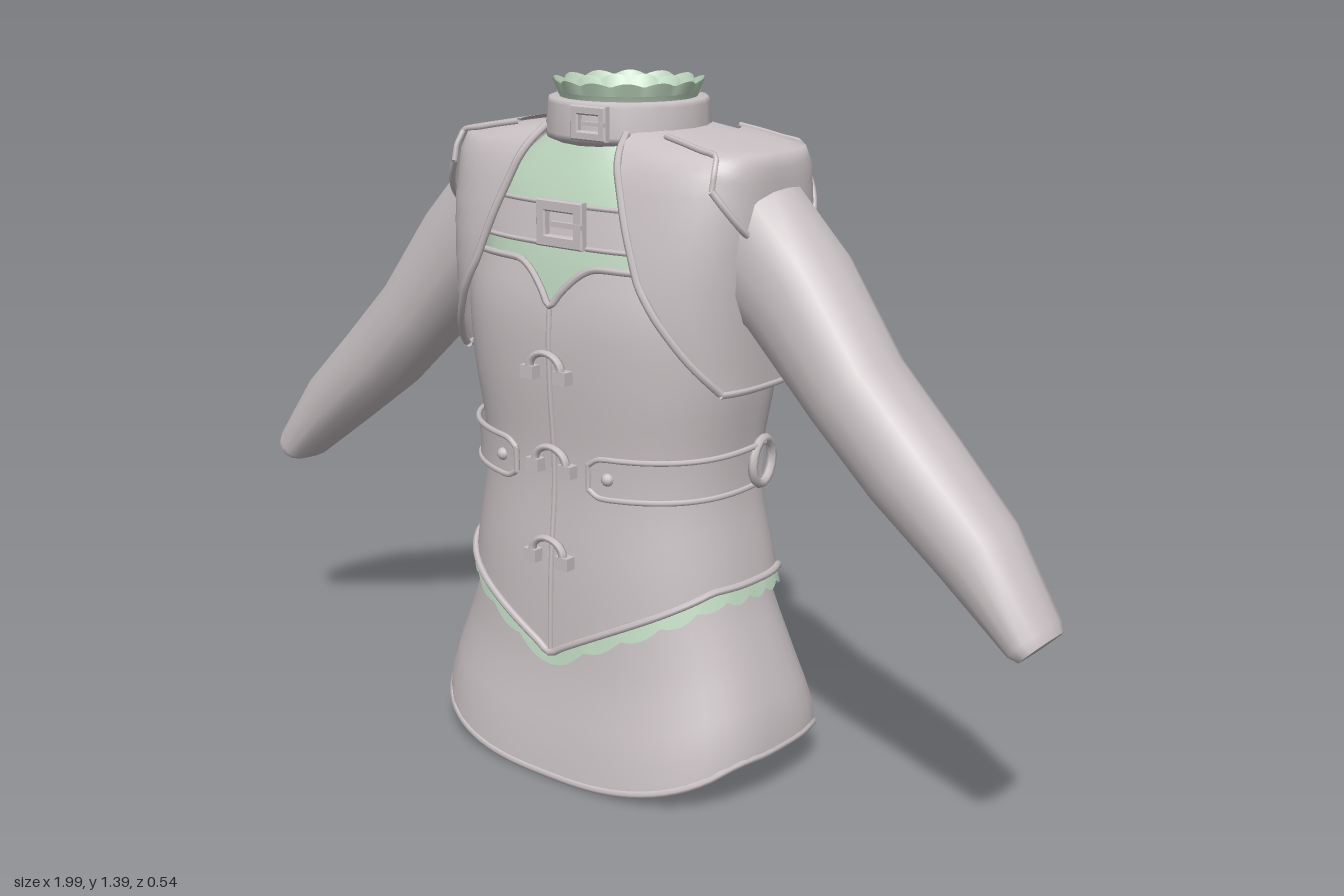
import * as THREE from 'three';

const mat = (name, color) => {
  const m = new THREE.MeshStandardMaterial({ color, side: THREE.DoubleSide });
  m.name = name;
  return m;
};
const lerp = THREE.MathUtils.lerp;
const PI = Math.PI;

// Body surface from rows [y, half width, front z, back z, squareness]
function surface(rows, smooth = true) {
  const Kind = smooth ? THREE.CubicInterpolant : THREE.LinearInterpolant;
  const lookup = new Kind(rows.map(r => r[0]), rows.flatMap(r => r.slice(1)), 4, new Float32Array(4));
  const at = (a, y, off = 0, yOut = y) => {
    const [w, zf, zb, n] = lookup.evaluate(y);
    const s = Math.sin(a), c = Math.cos(a);
    const r = 1 / Math.pow(Math.abs(s) ** n + Math.abs(c) ** n, 1 / n);
    return new THREE.Vector3((w + off) * r * s, yOut, (c > 0 ? zf + off : off - zb) * r * c);
  };
  // angle at which the front of the surface reaches a given x
  const angle = (x, y) => {
    const [w, , , n] = lookup.evaluate(y);
    const k = Math.min(x / w, 0.999);
    return Math.atan2(k, Math.pow(1 - k ** n, 1 / n));
  };
  return { at, angle };
}

// Smooth sheet through f(u, v); wrap joins the last column to the first
function sheet(f, nu, nv, wrap = false) {
  const pos = [], idx = [], cols = wrap ? nu : nu + 1;
  for (let j = 0; j <= nv; j++)
    for (let i = 0; i < cols; i++) pos.push(...f(i / nu, j / nv).toArray());
  for (let j = 0; j < nv; j++)
    for (let i = 0; i < nu; i++) {
      const k = (i + 1) % cols, a = j * cols + i, b = j * cols + k;
      idx.push(a, b, b + cols, a, b + cols, a + cols);
    }
  const g = new THREE.BufferGeometry();
  g.setAttribute('position', new THREE.Float32BufferAttribute(pos, 3));
  g.setIndex(idx);
  g.computeVertexNormals();
  return g;
}

// Piping along f(t)
function piping(f, n, r, closed = false) {
  const pts = Array.from({ length: closed ? n : n + 1 }, (_, i) => f(i / n));
  return new THREE.TubeGeometry(new THREE.CatmullRomCurve3(pts, closed), n * 2, r, 6, closed);
}

export function createModel() {
  const cloth = mat('mauve grey cloth', 0xc9c1c3);
  const lace = mat('pale green lace', 0xc3dcc4);
  const model = new THREE.Group();
  const add = (name, geo, material = cloth, parent = model) => {
    const m = new THREE.Mesh(geo, material);
    m.name = name;
    parent.add(m);
    return m;
  };
  const sideX = a => Math.min(1, Math.abs(Math.sin(a)) * 1.12);

  const skirt = surface([
    [0.08, 0.402, 0.268, -0.272, 2.9], [0.13, 0.4, 0.262, -0.262, 2.9], [0.27, 0.358, 0.232, -0.222, 2.7],
    [0.4, 0.315, 0.222, -0.186, 2.6], [0.5, 0.295, 0.21, -0.16, 2.5]]);
  const corset = surface([
    [0.27, 0.35, 0.245, -0.228, 2.6], [0.45, 0.327, 0.24, -0.19, 2.6], [0.65, 0.3, 0.226, -0.155, 2.6],
    [0.85, 0.325, 0.238, -0.172, 2.7], [0.98, 0.33, 0.236, -0.178, 2.8], [1.08, 0.325, 0.212, -0.178, 2.8]]);
  const shirt = surface([
    [0.9, 0.31, 0.215, -0.16, 2.7], [1.06, 0.31, 0.202, -0.165, 2.7],
    [1.2, 0.27, 0.172, -0.15, 2.6], [1.31, 0.14, 0.135, -0.13, 2]]);
  const jacket = surface([
    [0.84, 0.35, 0.235, -0.198, 3], [1.0, 0.358, 0.244, -0.2, 3.1], [1.15, 0.366, 0.214, -0.195, 3.5],
    [1.25, 0.366, 0.185, -0.176, 3.5], [1.28, 0.358, 0.165, -0.16, 3.5],
    [1.3, 0.25, 0.152, -0.15, 3], [1.315, 0.15, 0.14, -0.14, 2.2]], false);

  // Skirt with a hem raised at the sides, and its lining
  const skirtHem = a => 0.018 + 0.088 * sideX(a) ** 3;
  add('skirt', sheet((u, v) => skirt.at(u * 2 * PI, lerp(0.09, 0.5, v), 0,
    lerp(skirtHem(u * 2 * PI), 0.5, v)), 48, 8, true));
  const hemPoint = t => skirt.at(t * 2 * PI, 0.09, -0.004, skirtHem(t * 2 * PI));
  add('skirtHem', piping(hemPoint, 48, 0.008, true));
  add('skirtLining', sheet((u, v) => {
    const p = hemPoint(u), k = 1 - v;
    return new THREE.Vector3(p.x * k, lerp(0.075, p.y, k * k), p.z * k);
  }, 48, 5, true), lace);

  // Corset with pointed front and shaped neckline
  const hem = a => Math.cos(a) > 0 ? 0.278 + 0.165 * sideX(a) : 0.345 + 0.098 * sideX(a) ** 2;
  const neckline = a => 0.985 + 0.08 * (Math.cos(a) > 0 ? Math.sin(Math.min(sideX(a) / 0.36, 1) * PI / 2) : 1);
  add('corset', sheet((u, v) => {
    const a = u * 2 * PI;
    return corset.at(a, lerp(hem(a), neckline(a), v));
  }, 64, 16, true));
  add('corsetHemPiping', piping(t => corset.at(t * 2 * PI, hem(t * 2 * PI), 0.003), 64, 0.008, true));
  add('necklinePiping', piping(t => {
    const a = lerp(-1.1, 1.1, t);
    return corset.at(a, neckline(a), 0.002);
  }, 32, 0.007));
  add('frontSeam', piping(t => corset.at(0, lerp(0.28, 0.98, t), 0.001), 12, 0.006));
  add('backSeam', piping(t => corset.at(PI, lerp(0.35, 0.84, t)), 12, 0.003));
  add('waistFrill', sheet((u, v) => {
    const a = u * 2 * PI;
    const low = hem(a) - 0.026 - 0.012 * Math.abs(Math.sin(a * 13));
    return corset.at(a, Math.max(0.27, lerp(low, hem(a) + 0.03, v)), lerp(0.002, -0.004, v),
      lerp(low, hem(a) + 0.03, v));
  }, 156, 2, true), lace);

  // Shirt under the jacket
  add('shirt', sheet((u, v) => shirt.at(u * 2 * PI, lerp(0.92, 1.31, v)), 40, 8, true), lace);

  // Cropped jacket, open at the front
  const edgeX = new THREE.LinearInterpolant([0.85, 1.05, 1.2, 1.315], [0.33, 0.205, 0.145, 0.1], 1, new Float32Array(1));
  const openAngle = y => jacket.angle(edgeX.evaluate(y)[0], y);
  const levels = [0.84, 0.9, 0.97, 1.04, 1.1, 1.16, 1.21, 1.25, 1.28, 1.3, 1.315];
  add('jacket', sheet((u, v) => {
    const y = levels[Math.round(v * 10)], a = openAngle(y);
    return jacket.at(lerp(a, 2 * PI - a, u), y);
  }, 60, 10));
  for (const s of [1, -1])
    add('jacketFrontPiping', piping(t => {
      const y = lerp(0.845, 1.31, t);
      return jacket.at(s * openAngle(y), y);
    }, 16, 0.008));
  const a0 = openAngle(0.84);
  add('jacketHem', piping(t => jacket.at(lerp(a0, 2 * PI - a0, t), 0.842, -0.003), 40, 0.008));

  // Raised shoulder pads
  const padLow = u => 1.09 + 0.13 * Math.abs(2 * u - 1) ** 2;
  for (const s of [1, -1]) {
    const pad = (u, v) => {
      const y = v < 0.7 ? lerp(padLow(u), 1.28, v / 0.7) : lerp(1.28, 1.305, (v - 0.7) / 0.3);
      const p = jacket.at(s * lerp(0.84, PI - 0.84, u), y, 0.01);
      p.y += 0.006;
      return p;
    };
    add('shoulderPad', sheet((u, v) => pad(s > 0 ? u : 1 - u, v), 24, 10));
    add('shoulderPadEdge', piping(t => pad(t, 0), 20, 0.007));
    for (const u of [0, 1]) add('shoulderPadSide', piping(t => pad(u, t), 10, 0.006));
  }

  // Sleeves: rows of centre x, centre y, half height, half depth, centre z
  const sleeveRows = [
    [0.3, 1.13, 0.13, 0.105, 0.01], [0.42, 1.03, 0.112, 0.108, 0.01], [0.56, 0.87, 0.092, 0.1, 0.02],
    [0.69, 0.745, 0.088, 0.098, 0.022], [0.83, 0.625, 0.075, 0.088, 0.03],
    [0.955, 0.495, 0.045, 0.07, 0.045], [0.97, 0.482, 0.036, 0.06, 0.047]];
  const ringPoint = ([x, y, h, d, z], u, k = 1) => {
    const c = Math.cos(u * 2 * PI), s = Math.sin(u * 2 * PI);
    const r = k / Math.pow(Math.abs(c) ** 2.5 + Math.abs(s) ** 2.5, 0.4);
    return new THREE.Vector3(x + 0.69 * h * c * r, y + 0.72 * h * c * r, z + d * s * r);
  };
  for (const s of [1, -1]) {
    const sleeve = new THREE.Group();
    sleeve.name = s > 0 ? 'leftSleeve' : 'rightSleeve';
    sleeve.scale.x = s;
    add('sleeve', sheet((u, v) => ringPoint(sleeveRows[Math.round(v * 6)], u), 16, 6, true), cloth, sleeve);
    add('cuffEnd', sheet((u, v) => ringPoint(sleeveRows[6], u, 1 - v), 16, 1, true), cloth, sleeve);
    model.add(sleeve);
  }

  // Collar and neck frill
  const lathe = (pts, n) => new THREE.LatheGeometry(pts.map(p => new THREE.Vector2(...p)), n);
  add('collar', lathe([[0.145, 1.28], [0.162, 1.29], [0.163, 1.3], [0.159, 1.355], [0.155, 1.365], [0.135, 1.365]], 20));
  add('neckLining', lathe([[0.001, 1.2], [0.09, 1.22], [0.118, 1.27], [0.122, 1.34], [0.14, 1.375]], 28), lace);
  for (const [r, top, shift] of [[0.13, 1.392, 0], [0.118, 1.385, 0.5]])
    add('neckFrill', sheet((u, v) => {
      const wave = Math.abs(Math.sin((u * 14 + shift) * PI));
      const q = r + v * (0.012 + 0.008 * wave);
      return new THREE.Vector3(Math.sin(u * 2 * PI) * q, lerp(1.355, top + 0.008 * wave, v), Math.cos(u * 2 * PI) * q);
    }, 112, 2, true), lace);

  // Buckle: rounded frame with a tongue
  const buckle = (name, w, h, x, y, z) => {
    const g = new THREE.Group(), t = h * 0.2;
    g.name = name;
    const rect = (P, a, b) => new P([[-a, -b], [a, -b], [a, b], [-a, b]].map(p => new THREE.Vector2(...p)));
    const frame = rect(THREE.Shape, w / 2, h / 2);
    frame.holes.push(rect(THREE.Path, w / 2 - t, h / 2 - t));
    add('buckleFrame', new THREE.ExtrudeGeometry(frame, { depth: 0.012, bevelSize: 0.003, bevelThickness: 0.003, bevelSegments: 1 }), cloth, g);
    add('buckleTongue', new THREE.BoxGeometry(w * 0.7, h * 0.12, 0.01), cloth, g).position.set(w * 0.18, 0, 0.012);
    g.position.set(x, y, z);
    model.add(g);
  };

  // Chest strap and the two buckles
  const strapEdge = (a, y) => shirt.at(a, y, 0.018);
  add('chestStrap', sheet((u, v) => strapEdge(lerp(-0.85, 0.85, u), lerp(1.1, 1.175, v)), 20, 2));
  for (const y of [1.1, 1.175])
    add('chestStrapEdge', piping(t => strapEdge(lerp(-0.85, 0.85, t), y), 20, 0.005));
  buckle('chestBuckle', 0.11, 0.085, 0.015, 1.142, 0.212);
  buckle('collarBuckle', 0.08, 0.06, 0.04, 1.328, 0.156);

  // Front clasps: an arch with two feet
  for (const y of [0.865, 0.675, 0.49]) {
    const clasp = new THREE.Group();
    clasp.name = 'clasp';
    const arch = add('claspArch', new THREE.TorusGeometry(0.04, 0.009, 6, 12, PI), cloth, clasp);
    arch.scale.y = 0.75;
    for (const s of [1, -1])
      add('claspFoot', new THREE.BoxGeometry(0.032, 0.026, 0.024), cloth, clasp).position.set(s * 0.042, -0.012, -0.004);
    clasp.position.copy(corset.at(0, y, 0.014));
    model.add(clasp);
  }

  // Waist tabs with a stud in front and a loop at the side
  for (const s of [1, -1]) {
    const start = corset.angle(0.09, 0.66), end = PI / 2 + 0.2;
    const tab = (u, v) => {
      const half = 0.04 * Math.min(1, 0.6 + u * 8);
      return corset.at(s * lerp(start, end, u), 0.662 + 0.012 * u + half * (2 * v - 1), 0.013);
    };
    add('waistTab', sheet((u, v) => tab(s > 0 ? u : 1 - u, v), 24, 2));
    for (const v of [0, 1]) add('waistTabEdge', piping(t => tab(t, v), 24, 0.006));
    add('waistTabEnd', piping(t => tab(0, t), 4, 0.006));
    const stud = add('waistStud', new THREE.SphereGeometry(0.013, 10, 8));
    stud.position.copy(tab(0.09, 0.5));
    const loop = add('waistLoop', new THREE.TorusGeometry(0.045, 0.01, 6, 16));
    loop.position.copy(tab(1, 0.5));
    loop.rotation.y = s * end;
  }
  return model;
}
